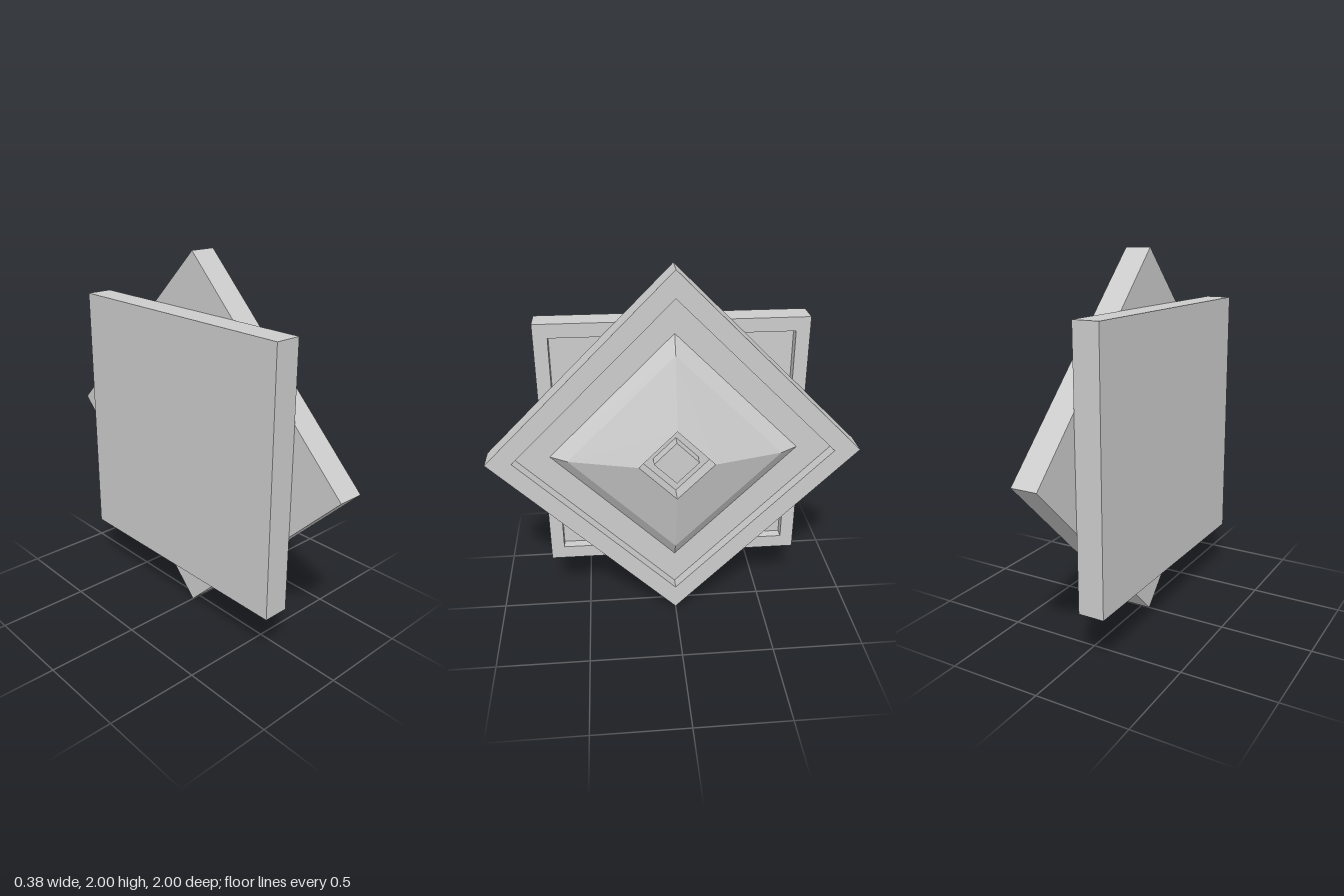
import * as THREE from 'three';

const material = new THREE.MeshStandardMaterial({ color: 0xcccccc, flatShading: true });

// Four-sided solid turned around the x axis from [corner radius, x] pairs, back to front.
function fourSided(name, profile) {
  const points = profile.map(([r, x]) => new THREE.Vector2(r, x));
  const geometry = new THREE.LatheGeometry(points, 4).toNonIndexed();
  geometry.rotateZ(-Math.PI / 2);
  geometry.computeVertexNormals();
  const mesh = new THREE.Mesh(geometry, material);
  mesh.name = name;
  mesh.position.y = 1;
  return mesh;
}

// Square slab whose front is sunk inside a raised rim.
function recessedPlate(name, back, front, innerRadius, floor) {
  return fourSided(name, [
    [0, back], [1, back], [1, front],
    [innerRadius, front], [innerRadius, floor], [0, floor],
  ]);
}

export function createModel() {
  const model = new THREE.Group();
  model.name = 'squareStud';

  // Back plate, sides upright
  const backPlate = recessedPlate('backPlate', -0.19, -0.05, 0.895, -0.105);
  backPlate.rotation.x = Math.PI / 4;
  model.add(backPlate);

  // Front plate, standing on its corner
  model.add(recessedPlate('frontPlate', -0.05, 0.09, 0.86, 0.023));

  // Bevelled pyramid with a square socket in its top
  model.add(fourSided('pyramid', [
    [0.665, 0.023], [0.57, 0.085], [0.2, 0.185], [0.2, 0.09], [0, 0.09],
  ]));

  // Small block inside the socket
  model.add(fourSided('centreBlock', [[0.12, 0.09], [0.12, 0.157], [0, 0.157]]));

  return model;
}
